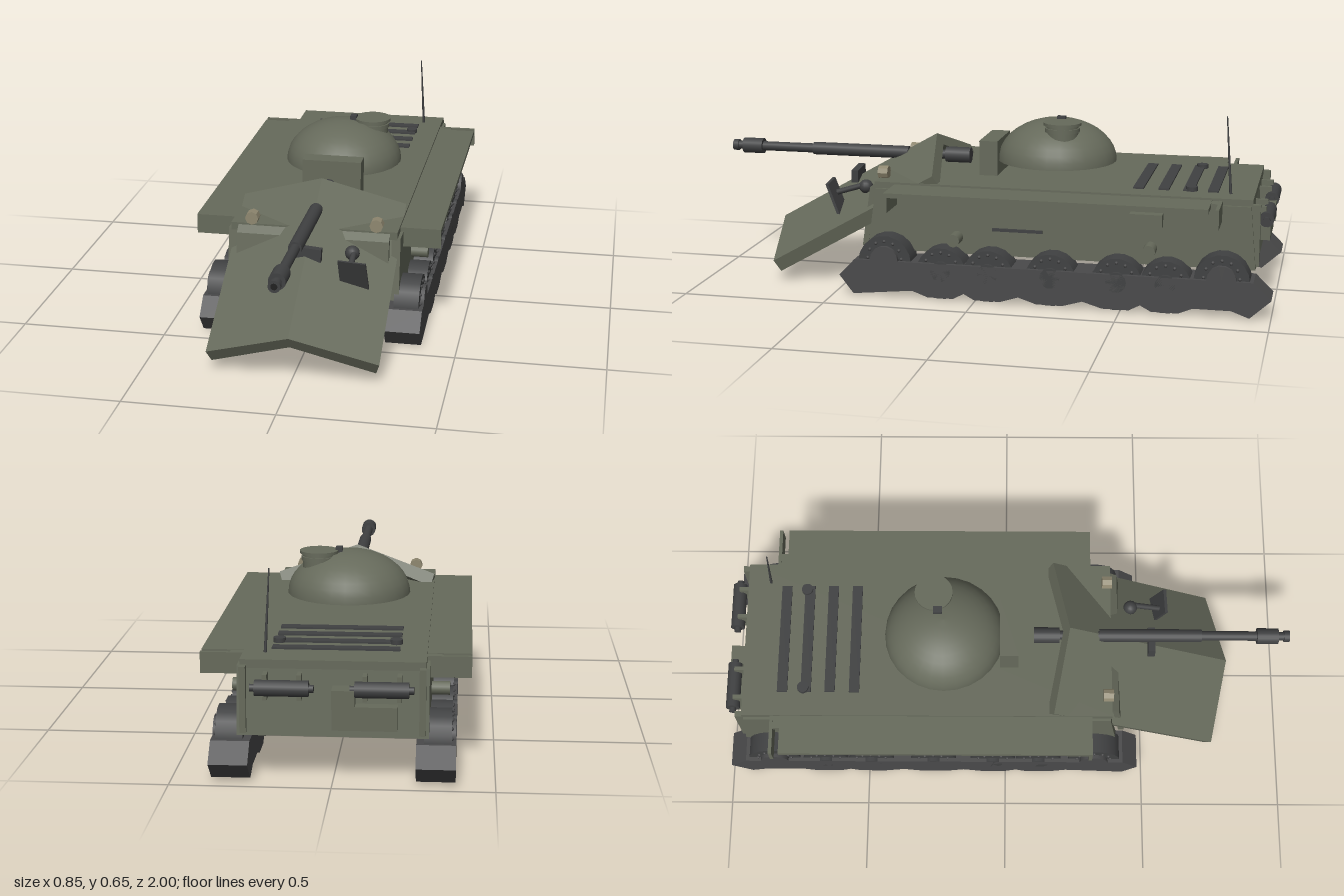
import * as THREE from 'three';

const mat = (color) => new THREE.MeshStandardMaterial({ color });

export function createModel() {
  const root = new THREE.Group();
  const olive = mat(0x666a5b), dark = mat(0x404142), trackGrey = mat(0x4a4a4b), lens = mat(0x8f8870);
  lens.flatShading = true;

  const add = (name, geo, m, x = 0, y = 0, z = 0) => {
    const mesh = new THREE.Mesh(geo, m);
    mesh.name = name;
    mesh.position.set(x, y, z);
    root.add(mesh);
    return mesh;
  };
  // Box given by its limits on each axis
  const box = (name, m, [x0, x1], [y0, y1], [z0, z1]) =>
    add(name, new THREE.BoxGeometry(x1 - x0, y1 - y0, z1 - z0), m, (x0 + x1) / 2, (y0 + y1) / 2, (z0 + z1) / 2);
  const cyl = (r, h, axis = 'y', n = 20) => {
    const g = new THREE.CylinderGeometry(r, r, h, n);
    if (axis === 'x') g.rotateZ(Math.PI / 2);
    if (axis === 'z') g.rotateX(Math.PI / 2);
    return g;
  };
  const outlineShape = (pts) => new THREE.Shape(pts.map((q) => new THREE.Vector2(...q)));
  // Side profile of [z, y] points, extruded across the width
  const profile = (pts, width) =>
    new THREE.ExtrudeGeometry(outlineShape(pts), { depth: width, bevelEnabled: false })
      .rotateY(-Math.PI / 2).translate(width / 2, 0, 0);

  // Hull shell, open underneath
  add('hullFrontWall', profile([[0.43, 0.15], [0.4, 0.36], [0.37, 0.385], [0.35, 0.385], [0.38, 0.355], [0.41, 0.15]], 0.52), olive);
  add('hullRearWall', profile([[-0.9, 0.15], [-0.9, 0.37], [-0.92, 0.37], [-0.94, 0.15]], 0.56), olive);
  const sideGeo = profile([[0.4, 0.15], [0.37, 0.365], [-0.92, 0.365], [-0.94, 0.15]], 0.03);
  box('deck', olive, [-0.285, 0.285], [0.36, 0.387], [-0.925, 0.375]);

  // V-shaped bow plate, a bent slab sloping down to the front
  let bow = new THREE.BoxGeometry(2, 1, 1, 2, 1, 1);
  const p = bow.attributes.position;
  for (let i = 0; i < p.count; i++) {
    const a = Math.abs(p.getX(i)), t = p.getZ(i) + 0.5, under = p.getY(i) < 0 ? 1 : 0;
    p.setXYZ(i, p.getX(i) * (0.285 - 0.013 * under),
      0.51 - 0.335 * t - 0.095 * a - 0.04 * under,
      0.225 + 0.585 * t - 0.055 * a - 0.023 * under);
  }
  bow = bow.toNonIndexed();
  bow.computeVertexNormals();
  add('bowPlate', bow, olive);

  // Turret dome
  const domePts = [new THREE.Vector2(0, 0), new THREE.Vector2(0.209, 0)];
  for (let i = 0; i <= 10; i++) {
    const a = (i / 10) * Math.PI / 2;
    domePts.push(new THREE.Vector2(i < 10 ? 0.21 * Math.cos(a) : 0, 0.147 * Math.sin(a)));
  }
  add('turretDome', new THREE.LatheGeometry(domePts, 28), olive, 0, 0.437, -0.215);
  box('mantlet', olive, [-0.105, 0.105], [0.385, 0.51], [-0.02, 0.045]);

  // Cupola with a lid and a small periscope
  add('cupolaRing', cyl(0.056, 0.072), olive, 0.1, 0.546, -0.25);
  add('cupolaCollar', cyl(0.061, 0.014), olive, 0.1, 0.562, -0.25);
  add('cupolaLid', cyl(0.066, 0.01), olive, 0.1, 0.583, -0.25);
  box('periscope', dark, [0.021, 0.044], [0.57, 0.597], [-0.25, -0.22]);

  // Gun barrel in stepped sections
  for (const [r, z0, z1] of [[0.028, 0.1, 0.19], [0.016, 0.19, 0.33], [0.023, 0.33, 0.69],
    [0.017, 0.69, 0.885], [0.028, 0.885, 0.96], [0.015, 0.96, 0.98], [0.02, 0.98, 1]])
    add('gunBarrelSection', cyl(r, z1 - z0, 'z', 18), dark, 0, 0.435, (z0 + z1) / 2);
  add('gunBore', cyl(0.011, 0.002, 'z', 12), mat(0x202020), 0, 0.435, 0.9995);

  // Travel lock on the bow plate
  const saddle = outlineShape([[-0.042, 0.335], [0, 0.345], [0.053, 0.325], [0.055, 0.37], [-0.038, 0.378]]);
  add('travelLock', new THREE.ExtrudeGeometry(saddle, { depth: 0.025, bevelEnabled: false }), dark, 0, 0, 0.508);

  // Bow gun mount: tilted shield, short arm and ball
  const shield = outlineShape([[0.12, 0.275], [0.215, 0.245], [0.21, 0.35], [0.118, 0.357]]);
  const shieldGeo = new THREE.ExtrudeGeometry(shield, { depth: 0.01, bevelEnabled: false });
  const sp = shieldGeo.attributes.position;
  for (let i = 0; i < sp.count; i++) sp.setZ(i, sp.getZ(i) + 0.53 + (sp.getY(i) - 0.25) * 0.4);
  shieldGeo.computeVertexNormals();
  add('bowShield', shieldGeo, dark);
  add('bowShieldArm', cyl(0.01, 0.12, 'z', 10), dark, 0.152, 0.328, 0.5).rotation.x = 0.3;
  add('bowBall', new THREE.SphereGeometry(0.025, 14, 10), dark, 0.145, 0.335, 0.45);

  // Engine grilles
  for (const z of [-0.785, -0.702, -0.618, -0.532])
    box('engineGrille', dark, [-0.2, 0.2], [0.38, 0.393], [z - 0.018, z + 0.018]);

  // Antenna
  const aerial = add('antenna', new THREE.CylinderGeometry(0.002, 0.005, 0.262, 8), dark, 0.209, 0.519, -0.835);
  aerial.rotation.set(0.076, 0, 0.046);

  // Track outline: pointed ends, flat top, scalloped underside
  const wheelZ = [0.32, 0.12, -0.045, -0.26, -0.485, -0.65, -0.835];
  const outline = [[-1, 0.072], [-0.94, 0.13], [0.425, 0.13], [0.48, 0.072], [0.43, 0.008]];
  wheelZ.forEach((z, i) => {
    if (i > 0 && i < 6) outline.push([z + 0.045, 0.01], [z - 0.045, 0.01]);
    outline.push([i < 6 ? (z + wheelZ[i + 1]) / 2 : -0.87, 0.03]);
  });
  outline.push([-0.93, 0.008]);
  const trackGeo = profile(outline, 0.122);

  for (const s of [-1, 1]) {
    const span = (a, b) => (s > 0 ? [a, b] : [-b, -a]);
    add('hullSide', sideGeo, olive, s * 0.28, 0, 0);
    add('track', trackGeo, trackGrey, s * 0.317, 0, 0);

    // Road wheels with hubs and bolts
    wheelZ.forEach((z, i) => {
      const end = i === 0 || i === 6, r = end ? 0.094 : 0.09, y = end ? 0.121 : 0.093;
      add('roadWheel', cyl(r, 0.085, 'x', 18), dark, s * 0.322, y, z);
      add('wheelHub', cyl(end ? 0.05 : 0.035, 0.1, 'x', 14), end ? trackGrey : dark, s * 0.328, y + 0.01, z);
      for (let k = 0; k < 7; k++) {
        const a = (k / 6) * Math.PI;
        add('wheelBolt', new THREE.SphereGeometry(0.006, 6, 5), trackGrey,
          s * 0.365, y + 0.015 + 0.06 * Math.sin(a), z + 0.06 * Math.cos(a));
      }
    });

    // Return rollers, stowage box and tool bar on the hull side
    for (const z of [0.08, -0.59]) add('returnRoller', cyl(0.022, 0.085, 'x', 14), olive, s * 0.312, 0.208, z);
    box('sideStowage', olive, span(0.26, 0.33), [0.285, 0.33], [-0.63, -0.52]);
    box('sideToolBar', dark, span(0.285, 0.303), [0.237, 0.247], [-0.22, -0.045]);

    // Fender with end plates, open underneath
    box('fender', olive, span(0.28, 0.423), [0.364, 0.38], [-0.79, 0.305]);
    box('fenderFrontPlate', olive, span(0.28, 0.423), [0.312, 0.38], [0.293, 0.305]);
    box('fenderRearPlate', olive, span(0.28, 0.423), [0.312, 0.38], [-0.825, -0.813]);
    box('fenderBracket', olive, span(0.28, 0.33), [0.364, 0.378], [-0.82, -0.785]);

    // Headlights, filler caps and rear canisters
    add('headlight', cyl(0.023, 0.035, 'z', 8), lens, s * 0.213, 0.406, 0.362);
    add('fillerCap', cyl(0.02, 0.022, 'y', 14), dark, s * 0.185, 0.391, -0.712);
    add('rearCanister', cyl(0.025, 0.165, 'x', 14), dark, s * 0.152, 0.31, -0.968);
    add('canisterCap', cyl(0.012, 0.195, 'x', 10), dark, s * 0.152, 0.31, -0.968);
    for (const x of [0.1, 0.205])
      box('canisterBracket', olive, span(x - 0.007, x + 0.007), [0.27, 0.35], [-0.965, -0.91]);
    box('rearFlange', olive, span(0.265, 0.285), [0.16, 0.37], [-0.95, -0.91]);
  }

  // Rear stowage
  box('rearBox', olive, [-0.2, 0], [0.18, 0.255], [-0.97, -0.91]);
  box('rearBlock', olive, [-0.07, 0], [0.25, 0.31], [-0.985, -0.91]);
  return root;
}
